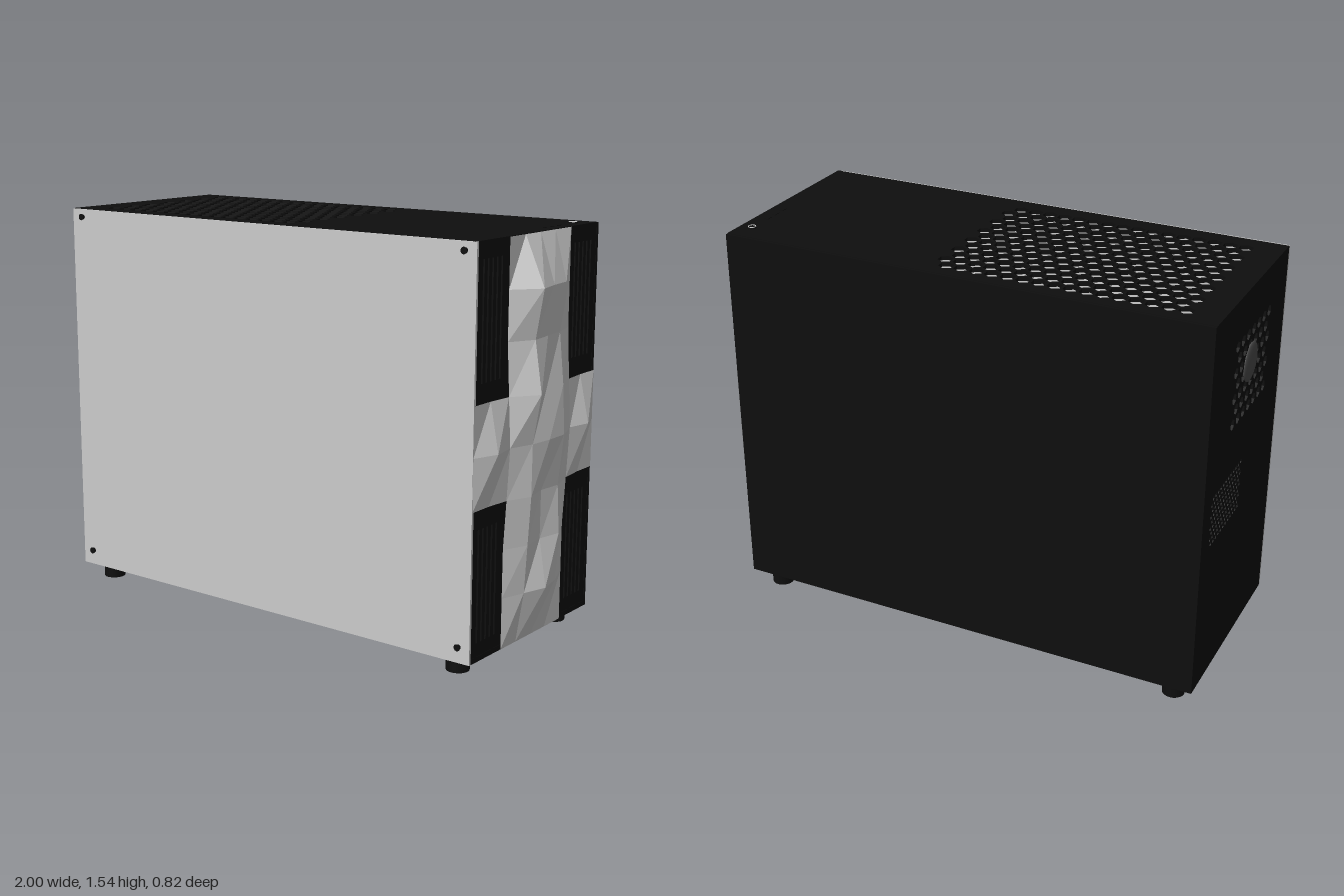
import * as THREE from 'three';

const mat = (name, color, extra = {}) => {
  const m = new THREE.MeshStandardMaterial({ color, ...extra });
  m.name = name;
  return m;
};

export function createModel() {
  const black = mat('case black', 0x0e0e0e);
  const glass = mat('side panel grey', 0xcccccc);
  const white = mat('facet white', 0xd6d6d6, { flatShading: true, side: THREE.DoubleSide });
  const grey = mat('component grey', 0x505050);
  const pink = mat('fan ring pink', 0x9c2f60);
  const model = new THREE.Group();

  const add = (name, geo, material, x = 0, y = 0, z = 0) => {
    const m = new THREE.Mesh(geo, material);
    m.name = name;
    m.position.set(x, y, z);
    model.add(m);
    return m;
  };
  const box = (name, material, x0, x1, y0, y1, z0, z1) =>
    add(name, new THREE.BoxGeometry(x1 - x0, y1 - y0, z1 - z0), material,
      (x0 + x1) / 2, (y0 + y1) / 2, (z0 + z1) / 2);

  // Polygonal hole outline
  const hole = (x, y, r, sides = 6) => {
    const p = new THREE.Path();
    for (let i = 0; i <= sides; i++) {
      const a = Math.PI / 2 - i * 2 * Math.PI / sides;
      p[i ? 'lineTo' : 'moveTo'](x + r * Math.cos(a), y + r * Math.sin(a));
    }
    return p;
  };
  const rect = (x0, x1, y0, y1, Type = THREE.Path) => {
    const p = new Type();
    p.moveTo(x0, y0).lineTo(x1, y0).lineTo(x1, y1).lineTo(x0, y1).closePath();
    return p;
  };
  // Staggered rows of hexagonal holes filling a rectangle
  const honeycomb = (x0, x1, y0, y1, pitch, r) => {
    const out = [];
    let row = 0;
    for (let y = y0 + r; y <= y1 - r + 1e-6; y += pitch * 0.866, row++)
      for (let x = x0 + r + (row % 2) * pitch / 2; x <= x1 - r + 1e-6; x += pitch)
        out.push(hole(x, y, r));
    return out;
  };
  const plate = (x0, x1, y0, y1, holes) => {
    const s = rect(x0, x1, y0, y1, THREE.Shape);
    s.holes.push(...holes);
    return new THREE.ExtrudeGeometry(s, { depth: 0.015, bevelEnabled: false });
  };

  // Closed panels
  box('sidePanel', glass, -0.99, 0.92, 0.06, 1.53, 0.392, 0.402);
  box('motherboardSidePanel', black, -0.99, 0.92, 0.06, 1.53, -0.41, -0.395);
  box('bottomPanel', black, -0.99, 0.92, 0.06, 0.08, -0.4, 0.392);

  // Top panel with honeycomb vent (shape y is -z)
  add('topPanel', plate(-0.99, 0.92, -0.392, 0.4,
    honeycomb(-0.885, 0.13, -0.33, 0.37, 0.06, 0.029)).rotateX(-Math.PI / 2), black, 0, 1.517, 0);

  // Rear panel with fan grille and slot vent (shape x is -z)
  add('rearPanel', plate(-0.392, 0.4, 0.07, 1.525, [
    ...honeycomb(-0.22, 0.2, 1.03, 1.42, 0.058, 0.022),
    ...honeycomb(0, 0.33, 0.64, 0.85, 0.027, 0.009),
  ]).rotateY(Math.PI / 2), black, -0.99, 0, 0);

  // Intake panel with vertical slots in its four corners
  const slots = [];
  for (const [y0, y1] of [[0.13, 0.54], [1.05, 1.47]])
    for (const side of [-1, 1])
      for (let i = 0; i < 5; i++) {
        const x = side * (0.245 + i * 0.028);
        slots.push(rect(x - 0.005, x + 0.005, y0, y1));
      }
  add('intakePanel', plate(-0.4, 0.41, 0.06, 1.53, slots).rotateY(Math.PI / 2), black, 0.904, 0, 0);

  // Faceted cross: heights in hundredths above the intake panel
  const zs = [0.402, 0.3, 0.2, 0.1, 0, -0.1, -0.21, -0.31, -0.41];
  const ys = [0.06, 0.25, 0.43, 0.61, 0.8, 0.98, 1.17, 1.35, 1.53];
  const heights = [
    [0, 0, 0, 0, 0, 0, 0, 0, 0],
    [0, 0, 0, 3, 6, 4, 0, 0, 0],
    [0, 0, 0, 4, 3, 5, 0, 0, 0],
    [0, 0, 1, 5, 3, 4, 1, 0, 0],
    [0, 3.5, 2, 5, 6, 6, 2, 4, 0],
    [0, 0, 1, 8, 4, 5, 1, 0, 0],
    [0, 0, 0, 5, 4, 3, 0, 0, 0],
    [0, 0, 0, 8, 6, 5, 0, 0, 0],
    [0, 0, 0, 0, 0, 0, 0, 0, 0],
  ];
  const pts = [];
  const corner = (r, c) => [0.921 + heights[r][c] / 100, ys[r], zs[c]];
  for (let r = 0; r < 8; r++)
    for (let c = 0; c < 8; c++) {
      if (!((c >= 2 && c < 6) || r === 3 || r === 4)) continue;
      const [a, b, d, e] = [corner(r, c), corner(r, c + 1), corner(r + 1, c + 1), corner(r + 1, c)];
      pts.push(...a, ...b, ...d, ...a, ...d, ...e);
    }
  const cross = new THREE.BufferGeometry();
  cross.setAttribute('position', new THREE.Float32BufferAttribute(pts, 3));
  cross.computeVertexNormals();
  add('facetedCross', cross, white);

  // Feet and side panel screws
  for (const x of [-0.9, 0.82])
    for (const z of [0.32, -0.345])
      add('foot', new THREE.CylinderGeometry(0.043, 0.043, 0.065, 20), black, x, 0.0325, z);
  for (const x of [-0.935, 0.875])
    for (const y of [0.12, 1.5])
      add('panelScrew', new THREE.CylinderGeometry(0.013, 0.009, 0.013, 12).rotateX(Math.PI / 2),
        black, x, y, 0.407);

  // Power button and ports on the top
  add('powerButton', new THREE.CylinderGeometry(0.018, 0.018, 0.006, 20), black, 0.87, 1.533, -0.31);
  add('powerButtonRing', new THREE.TorusGeometry(0.014, 0.002, 6, 20).rotateX(Math.PI / 2),
    glass, 0.87, 1.536, -0.31);
  for (const z of [-0.2, -0.15, -0.1])
    box('port', black, 0.863, 0.877, 1.531, 1.534, z - 0.015, z + 0.015);

  // Rear exhaust fan: hub, rings and blades
  const ring = (name, r, x, y, z) =>
    add(name, new THREE.TorusGeometry(r, 0.014, 8, 32).rotateY(Math.PI / 2), pink, x, y, z);
  add('fanHub', new THREE.SphereGeometry(0.075, 24, 12).scale(0.14, 1, 1), grey, -0.99, 1.23, 0.01);
  ring('fanRing', 0.18, -0.95, 1.23, 0.01);
  ring('fanInnerRing', 0.13, -0.95, 1.23, 0.01);
  for (let i = 0; i < 7; i++) {
    const blade = add('fanBlade', new THREE.BoxGeometry(0.008, 0.11, 0.05).translate(0, 0.115, 0),
      black, -0.93, 1.23, 0.01);
    blade.rotation.x = i * 2 * Math.PI / 7;
  }

  // Interior components
  box('graphicsCard', black, -0.95, 0.2, 0.46, 0.6, -0.36, 0.1);
  box('graphicsCardBackplate', grey, -0.95, 0.2, 0.6, 0.608, -0.36, 0.1);
  box('coolerBlock', black, -0.43, -0.12, 0.95, 1.25, -0.39, -0.24);
  ring('coolerRing', 0.1, -0.275, 1.1, -0.23).rotation.y = Math.PI / 2;
  for (let i = 0; i < 4; i++)
    box('memoryStick', black, -0.04 + i * 0.04, -0.025 + i * 0.04, 0.85, 1.3, -0.39, -0.22);
  box('powerSupplyShroud', black, -0.97, 0.9, 0.08, 0.36, -0.39, 0.38);
  return model;
}
